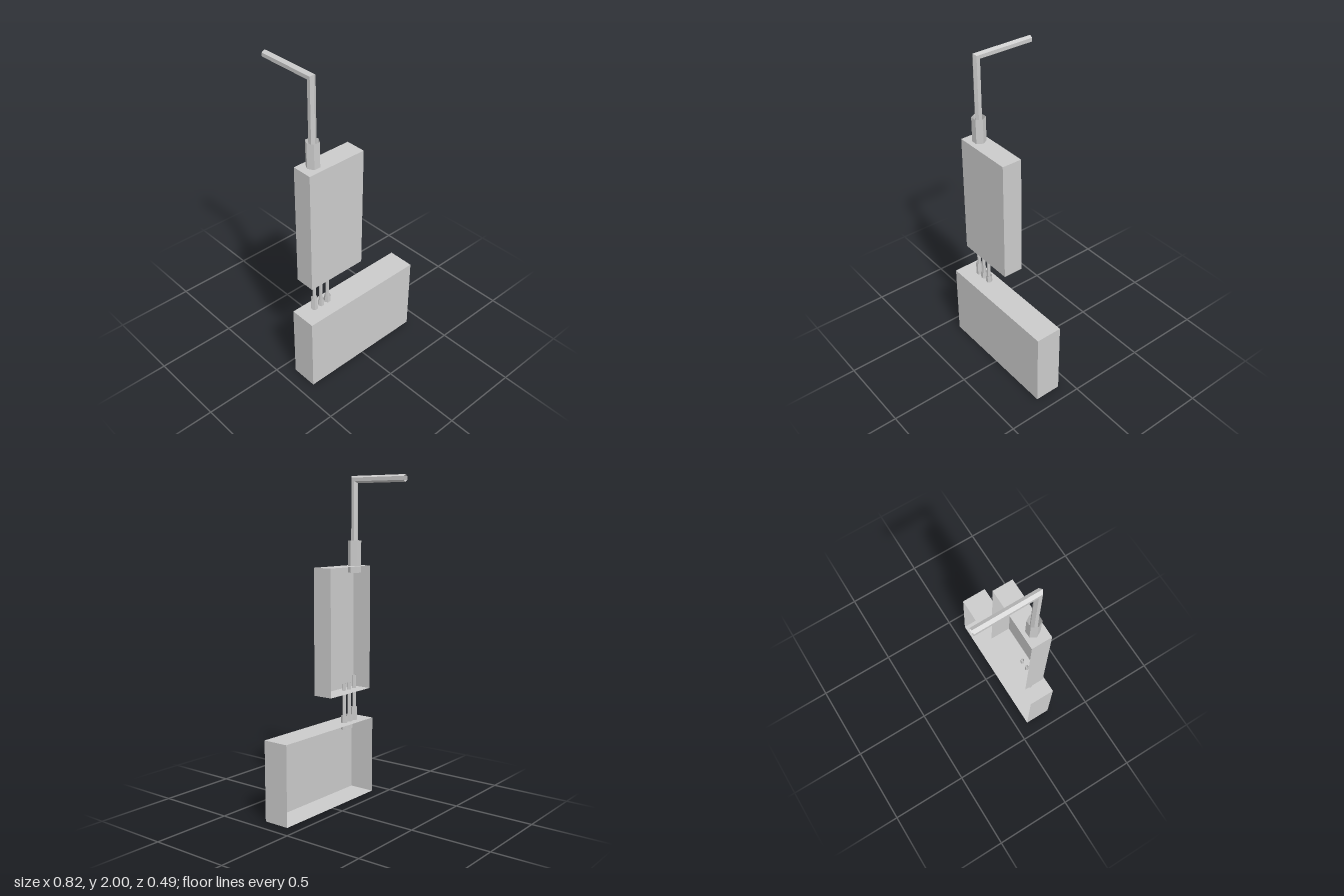
import * as THREE from 'three';

const material = new THREE.MeshStandardMaterial({ color: 0xcccccc, flatShading: true, side: THREE.DoubleSide });

function addMesh(parent, name, geometry) {
  const mesh = new THREE.Mesh(geometry, material);
  mesh.name = name;
  parent.add(mesh);
  return mesh;
}

// Thin-walled housing: a box without its back face
function housing(parent, name, [x0, x1], [y0, y1], [z0, z1]) {
  const box = new THREE.BoxGeometry(x1 - x0, y1 - y0, z1 - z0);
  // the back is the last of the six faces, so drop its six indices
  box.setIndex(Array.from(box.index.array).slice(0, 30));
  box.clearGroups();
  addMesh(parent, name, box).position.set((x0 + x1) / 2, (y0 + y1) / 2, (z0 + z1) / 2);
}

// Upright six-sided open sleeve with corners on +x and -x
function hexTube(parent, name, radius, x, y0, y1, z) {
  const tube = new THREE.CylinderGeometry(radius, radius, y1 - y0, 6, 1, true);
  tube.rotateY(Math.PI / 6);
  addMesh(parent, name, tube).position.set(x, (y0 + y1) / 2, z);
}

// Six-sided pipe that rises, then turns backwards with a mitred corner
function bentPipe(radius, x, z, yStart, yBend, zEnd) {
  const positions = [], index = [], sides = 6;
  for (let ring = 0; ring < 3; ring++) {
    for (let i = 0; i < sides; i++) {
      const a = (i / sides) * Math.PI * 2;
      const u = Math.sin(a) * radius, v = Math.cos(a) * radius;
      positions.push(x + u, ring === 0 ? yStart : yBend + v, ring === 2 ? zEnd : z + v);
    }
  }
  for (let ring = 0; ring < 2; ring++) {
    for (let i = 0; i < sides; i++) {
      const a = ring * sides + i, b = ring * sides + (i + 1) % sides;
      index.push(a, b, b + sides, a, b + sides, a + sides);
    }
  }
  const geometry = new THREE.BufferGeometry();
  geometry.setAttribute('position', new THREE.Float32BufferAttribute(positions, 3));
  geometry.setIndex(index);
  geometry.computeVertexNormals();
  return geometry;
}

export function createModel() {
  const model = new THREE.Group();
  model.name = 'wiredBoxes';

  // Two open-backed boxes
  housing(model, 'lowerBox', [-0.412, 0.412], [0, 0.488], [0.078, 0.245]);
  housing(model, 'upperBox', [-0.357, 0.031], [0.692, 1.461], [0.061, 0.188]);

  // Pipe and its fitting on top of the upper box
  hexTube(model, 'pipeFitting', 0.041, -0.275, 1.42, 1.615, 0.12);
  addMesh(model, 'bentPipe', bentPipe(0.022, -0.275, 0.12, 1.461, 1.978, -0.247));

  // Three wires with sleeves; the outermost sits a little higher
  [[-0.3, 0.04], [-0.249, 0], [-0.199, 0]].forEach(([x, lift], i) => {
    const wire = new THREE.Group();
    wire.name = `wire${i + 1}`;
    hexTube(wire, 'sleeve', 0.02, x, 0.445 + lift, 0.533 + lift, 0.14);
    hexTube(wire, 'core', 0.011, x, 0.46 + lift, 0.735 + lift, 0.14);
    model.add(wire);
  });

  return model;
}
